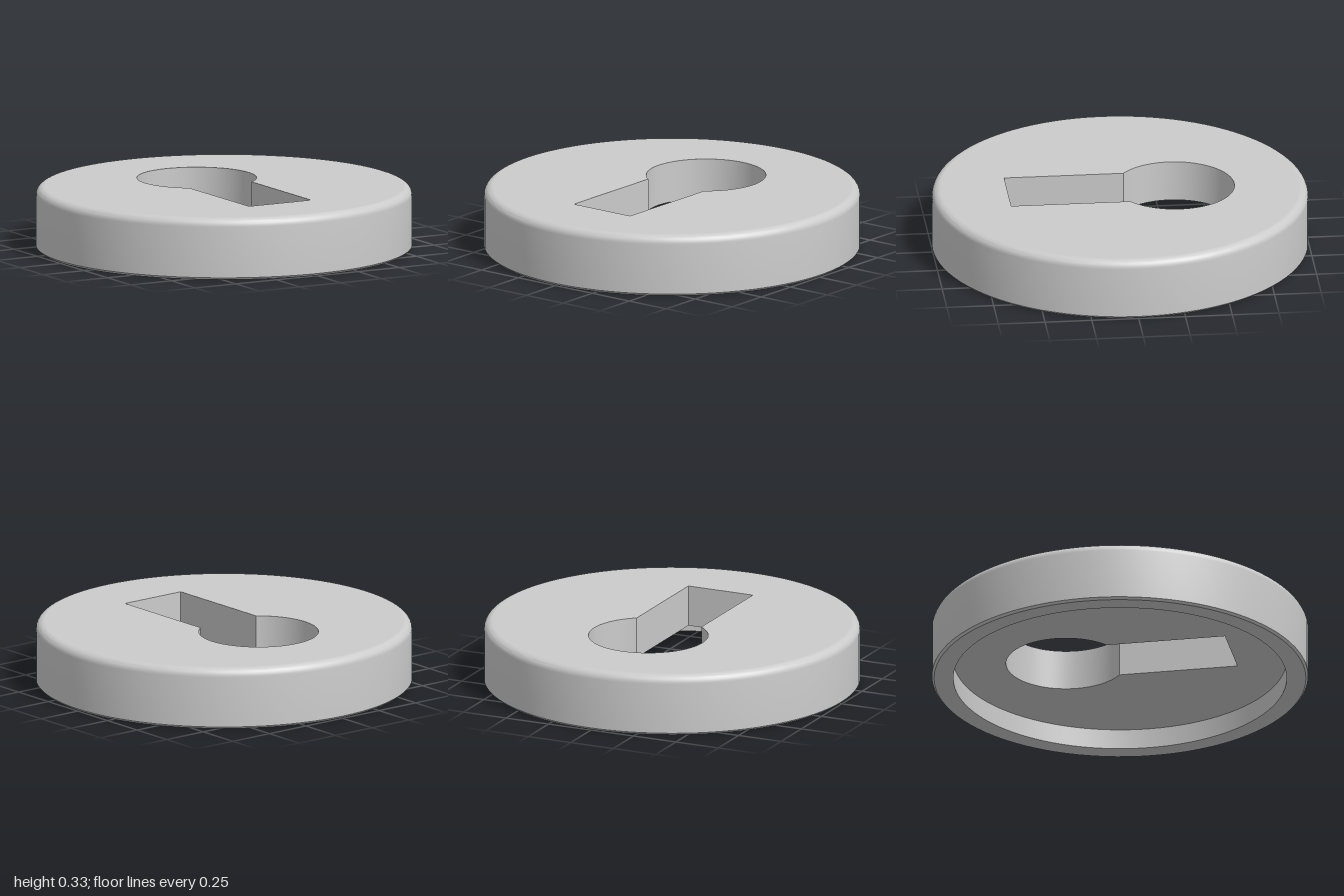
import * as THREE from 'three';
import { toCreasedNormals } from 'three/addons/utils/BufferGeometryUtils.js';

const HEIGHT = 0.33, RECESS = 0.11, RECESS_R = 0.886;
const FILLET = 0.045, CHAMFER = 0.012, SEGMENTS = 96;

// Keyhole outline, counter-clockwise, in plan (x, -z)
function keyholePoints() {
  const r = 0.318, cy = 0.292, half = 0.19, end = -0.6;
  const a = Math.acos(half / r);
  const path = new THREE.Path();
  path.absarc(0, cy, r, -a, Math.PI + a, false);
  path.lineTo(-half, end);
  path.lineTo(half, end);
  return path.getPoints(SEGMENTS / 2);
}

// Flat disc pierced by the keyhole; side = 1 faces up, -1 faces down
function piercedDisc(radius, y, side, hole) {
  const shape = new THREE.Shape().absarc(0, 0, radius, 0, Math.PI * 2, false);
  shape.holes.push(new THREE.Path(hole.map(p => new THREE.Vector2(p.x, side * p.y))));
  return new THREE.ShapeGeometry(shape, SEGMENTS / 2)
    .rotateX(-side * Math.PI / 2)
    .translate(0, y, 0);
}

// Upright wall following the keyhole, facing into the opening
function keyholeWallGeometry(hole, y0, y1) {
  const pos = [];
  hole.forEach((p, i) => {
    const q = hole[(i + 1) % hole.length];
    pos.push(p.x, y0, -p.y, p.x, y1, -p.y, q.x, y0, -q.y);
    pos.push(p.x, y1, -p.y, q.x, y1, -q.y, q.x, y0, -q.y);
  });
  const geo = new THREE.BufferGeometry();
  geo.setAttribute('position', new THREE.Float32BufferAttribute(pos, 3));
  return toCreasedNormals(geo, 0.5);
}

// Recess wall, foot, chamfer, outer wall and rounded top edge
function rimGeometry() {
  const profile = [
    [RECESS_R, RECESS], [RECESS_R, 0], [1 - CHAMFER, 0], [1, CHAMFER],
  ].map(([x, y]) => new THREE.Vector2(x, y));
  const steps = 8;
  for (let i = 0; i <= steps; i++) {
    const t = (i / steps) * Math.PI / 2;
    profile.push(new THREE.Vector2(
      1 - FILLET + FILLET * Math.cos(t), HEIGHT - FILLET + FILLET * Math.sin(t)));
  }
  return toCreasedNormals(new THREE.LatheGeometry(profile, SEGMENTS), 0.5);
}

export function createModel() {
  const group = new THREE.Group();
  group.name = 'keyholeEscutcheon';
  const material = new THREE.MeshStandardMaterial({ color: 0xcccccc });
  const add = (name, geometry) => {
    const mesh = new THREE.Mesh(geometry, material);
    mesh.name = name;
    group.add(mesh);
  };

  const hole = keyholePoints();
  add('rim', rimGeometry());
  add('topFace', piercedDisc(1 - FILLET, HEIGHT, 1, hole));
  add('recessFace', piercedDisc(RECESS_R, RECESS, -1, hole));
  add('keyholeWall', keyholeWallGeometry(hole, RECESS, HEIGHT));
  return group;
}
